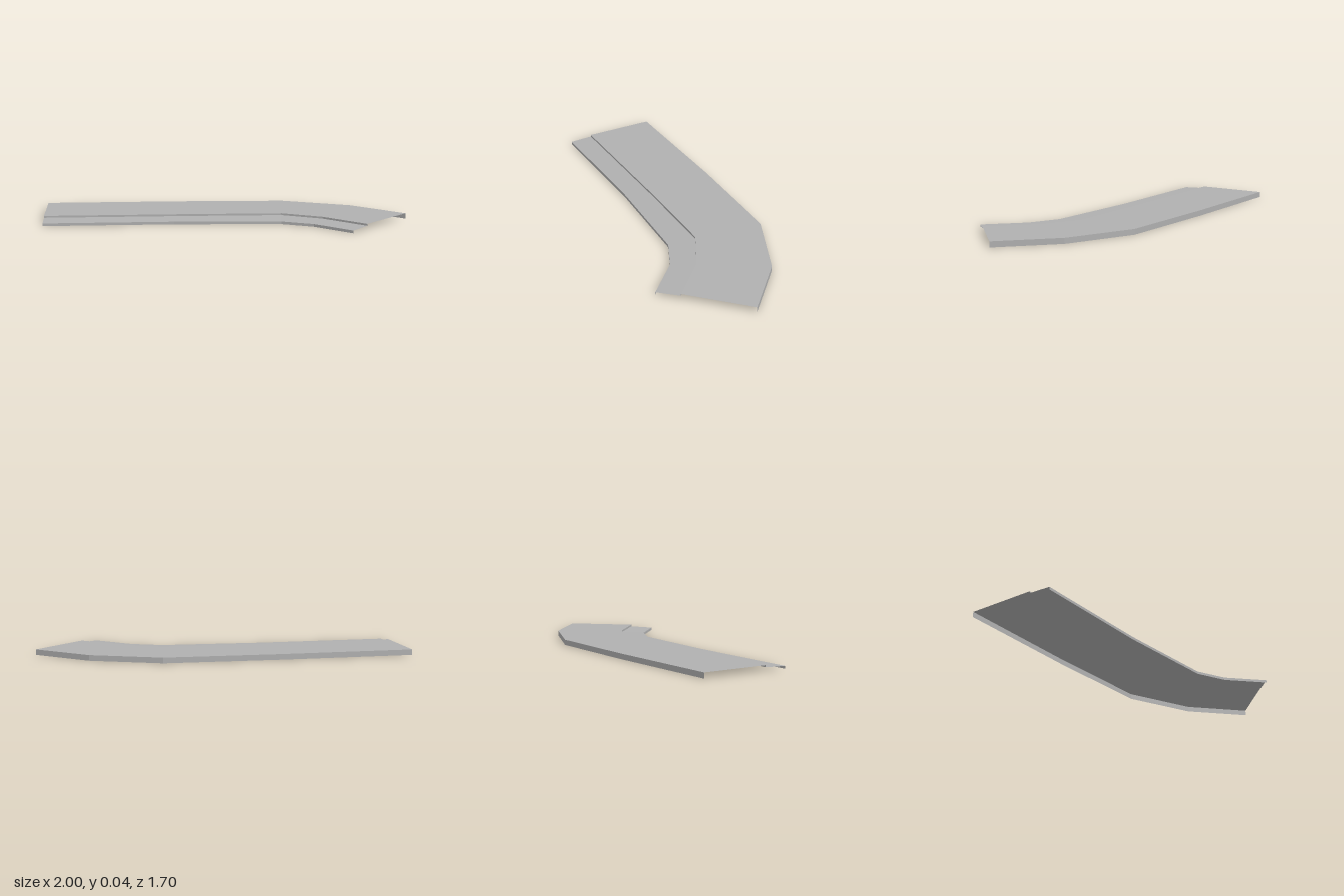
import * as THREE from 'three';

// Plan lines [x, z] running along the bend, from the angled end to the straight end
const outerLine = [[-1, 0.425], [-0.395, -0.18], [0.135, -0.675], [0.575, -0.842], [1, -0.85]];
const stepLine = [[-0.685, 0.74], [-0.03, 0.088], [0.4, -0.325], [0.665, -0.405], [1, -0.405]];
const frontLine = [[-0.58, 0.845], [0, 0.265], [0.505, -0.185], [0.705, -0.255], [1, -0.255]];

const TOP = 0.035, LEDGE_BACK = 0.023, LEDGE_FRONT = 0.017;

// Flat-shaded ribbon between two plan lines, each at its own height
function strip(name, lineA, yA, lineB, yB, material) {
  const positions = [];
  const a = lineA.map(([x, z]) => [x, yA, z]);
  const b = lineB.map(([x, z]) => [x, yB, z]);
  for (let i = 0; i < a.length - 1; i++) {
    positions.push(...a[i], ...b[i], ...b[i + 1], ...a[i], ...b[i + 1], ...a[i + 1]);
  }
  const geometry = new THREE.BufferGeometry();
  geometry.setAttribute('position', new THREE.Float32BufferAttribute(positions, 3));
  geometry.computeVertexNormals();
  const mesh = new THREE.Mesh(geometry, material);
  mesh.name = name;
  return mesh;
}

export function createModel() {
  const model = new THREE.Group();
  model.name = 'curvedPavement';
  const concrete = new THREE.MeshStandardMaterial({ color: 0xb0b0b0, side: THREE.DoubleSide });
  concrete.name = 'concrete grey';

  // Open-bottomed shell, laid from the outer edge across to the inner edge
  model.add(
    strip('outerSkirt', outerLine, 0, outerLine, TOP, concrete),
    strip('pavementTop', outerLine, TOP, stepLine, TOP, concrete),
    strip('kerbRiser', stepLine, TOP, stepLine, LEDGE_BACK, concrete),
    strip('gutterLedge', stepLine, LEDGE_BACK, frontLine, LEDGE_FRONT, concrete),
    strip('innerSkirt', frontLine, LEDGE_FRONT, frontLine, 0, concrete)
  );
  return model;
}
